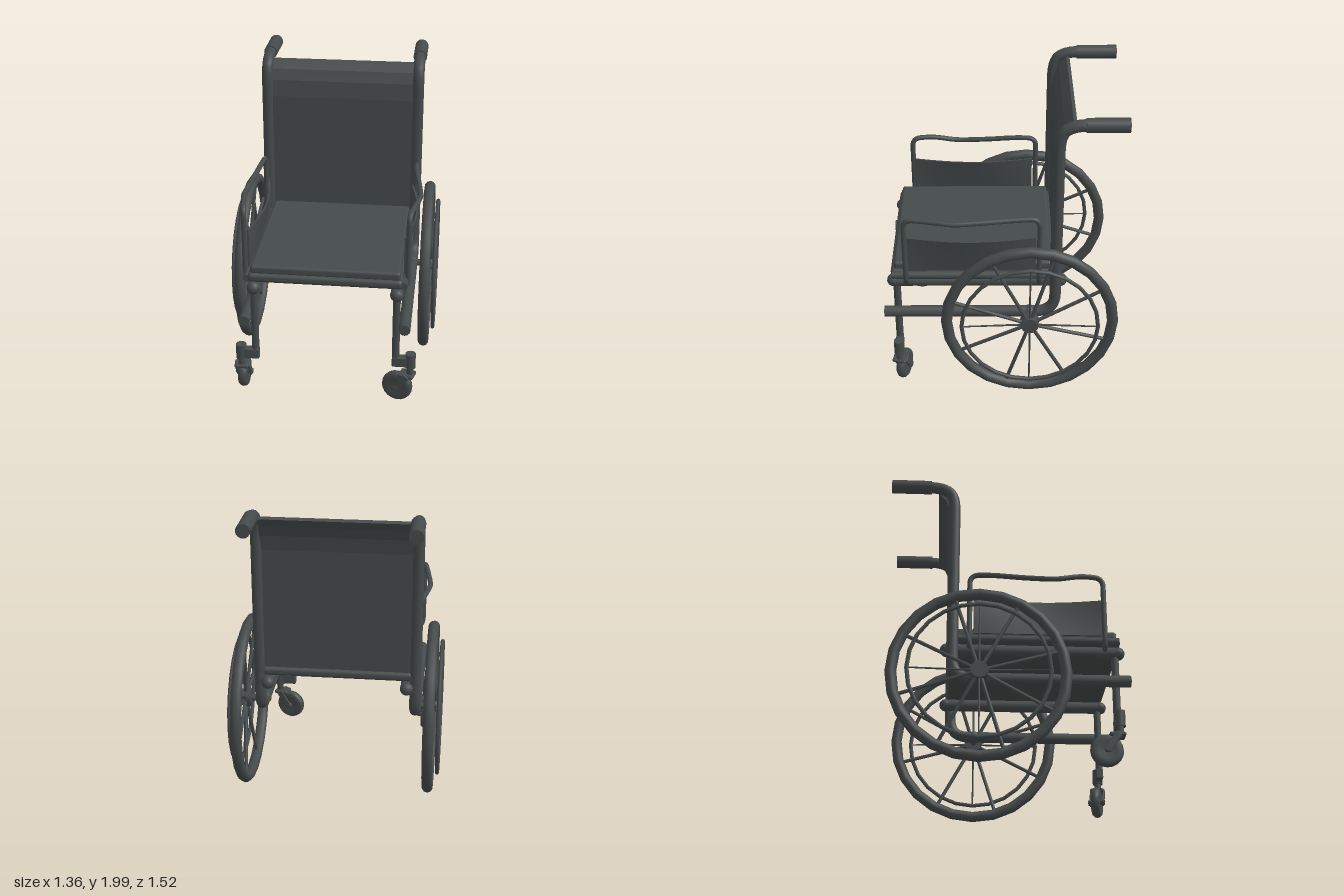
import * as THREE from 'three';
import { RoundedBoxGeometry } from 'three/addons/geometries/RoundedBoxGeometry.js';

const V = (x, y, z) => new THREE.Vector3(x, y, z);
const dark = new THREE.MeshStandardMaterial({ color: 0x454a4a, side: THREE.DoubleSide });
dark.name = 'charcoal';

function add(parent, name, geometry, x = 0, y = 0, z = 0) {
  const m = new THREE.Mesh(geometry, dark);
  m.name = name;
  m.position.set(x, y, z);
  parent.add(m);
  return m;
}

// Straight rod between two points
function rod(parent, name, a, b, r, r2 = r, sides = 12) {
  const m = add(parent, name, new THREE.CylinderGeometry(r2, r, a.distanceTo(b), sides));
  m.position.copy(a).add(b).multiplyScalar(0.5);
  m.quaternion.setFromUnitVectors(V(0, 1, 0), b.clone().sub(a).normalize());
  return m;
}

// Bent tube: straight runs joined by rounded corners
function bentTube(parent, name, pts, r, bend, segments = 64) {
  const path = new THREE.CurvePath();
  let from = pts[0];
  for (let i = 1; i < pts.length - 1; i++) {
    const p = pts[i];
    const toward = (q) => p.clone().add(q.clone().sub(p).setLength(Math.min(bend, p.distanceTo(q) * 0.45)));
    const start = toward(pts[i - 1]), end = toward(pts[i + 1]);
    path.add(new THREE.LineCurve3(from, start));
    path.add(new THREE.QuadraticBezierCurve3(start, p, end));
    from = end;
  }
  path.add(new THREE.LineCurve3(from, pts[pts.length - 1]));
  add(parent, name, new THREE.TubeGeometry(path, segments, r, 12));
}

const ball = (parent, name, r, x, y, z) => add(parent, name, new THREE.SphereGeometry(r, 14, 10), x, y, z);

// Large wheel, built around its hub with the axle along x
function driveWheel(side) {
  const g = new THREE.Group();
  g.name = 'driveWheel';
  add(g, 'tyre', new THREE.TorusGeometry(0.535, 0.036, 10, 24)).rotation.y = Math.PI / 2;
  add(g, 'handRim', new THREE.TorusGeometry(0.437, 0.013, 8, 24), side * 0.06).rotation.y = Math.PI / 2;
  rod(g, 'axle', V(-side * 0.105, 0, 0), V(side * 0.02, 0, 0), 0.022);
  rod(g, 'hub', V(-side * 0.01, 0, 0), V(side * 0.06, 0, 0), 0.062, 0.055, 16);
  const at = (x, r, a) => V(x, r * Math.sin(a), -r * Math.cos(a));
  for (let i = 0; i < 8; i++) {
    const a = (28 + i * 45) * Math.PI / 180;
    rod(g, 'spoke', at(side * 0.03, 0.05, a), at(0, 0.52, a), 0.012, 0.012, 8);
  }
  for (let i = 0; i < 4; i++) {
    const a = i * Math.PI / 2;
    rod(g, 'rimSpoke', at(side * 0.04, 0.05, a), at(side * 0.06, 0.435, a), 0.007, 0.005, 6);
  }
  g.position.set(side * 0.605, 0.58, -0.18);
  return g;
}

// Swivelling front caster, trailing behind its pivot
function caster(side, yaw) {
  const g = new THREE.Group();
  g.name = 'caster';
  rod(g, 'casterStem', V(0, 0.2, 0), V(0, 0.3, 0), 0.022);
  add(g, 'forkCrown', new RoundedBoxGeometry(0.09, 0.025, 0.1, 2, 0.01), 0, 0.212, -0.02);
  for (const s of [-1, 1]) {
    const arm = add(g, 'forkArm', new RoundedBoxGeometry(0.012, 0.14, 0.045, 2, 0.005), s * 0.043, 0.16, -0.05);
    arm.rotation.x = 0.6;
  }
  const profile = [[0, -0.022], [0.055, -0.025], [0.085, -0.03], [0.098, -0.018], [0.102, 0],
    [0.098, 0.018], [0.085, 0.03], [0.055, 0.025], [0, 0.022]].map((p) => new THREE.Vector2(...p));
  add(g, 'casterWheel', new THREE.LatheGeometry(profile, 20), 0, 0.115, -0.085).rotation.z = Math.PI / 2;
  rod(g, 'casterAxle', V(-0.055, 0.115, -0.085), V(0.055, 0.115, -0.085), 0.018);
  g.position.set(side * 0.545, 0, 0.675);
  g.rotation.y = yaw;
  return g;
}

// Fabric side guard whose upper edge billows towards +x
function sideGuard(parent, side) {
  const geo = new THREE.BoxGeometry(0.012, 0.25, 0.82, 1, 6, 16);
  const p = geo.attributes.position;
  for (let i = 0; i < p.count; i++) {
    const up = p.getY(i) / 0.25 + 0.5;
    const along = Math.cos(p.getZ(i) / 0.82 * Math.PI);
    p.setX(i, p.getX(i) + 0.052 * up * along);
  }
  geo.computeVertexNormals();
  add(parent, 'sideGuard', geo, side * 0.49, 1.025, 0.195);
}

// Fabric back: a thin sheet following the bend of the back posts
function backrest(parent) {
  const front = [[-0.335, 0.9], [-0.335, 1.3], [-0.335, 1.7], [-0.35, 1.81], [-0.38, 1.88], [-0.43, 1.94]];
  const shape = new THREE.Shape();
  front.forEach(([z, y], i) => (i ? shape.lineTo(z, y) : shape.moveTo(z, y)));
  [...front].reverse().forEach(([z, y]) => shape.lineTo(z - 0.022, y - (y > 1.75 ? 0.012 : 0)));
  const geo = new THREE.ExtrudeGeometry(shape, { depth: 0.96, bevelEnabled: false });
  add(parent, 'backrest', geo, 0.48, 0, 0).rotation.y = -Math.PI / 2;
}

export function createModel() {
  const model = new THREE.Group();
  model.name = 'wheelchair';

  // Seat and back
  add(model, 'seatBase', new RoundedBoxGeometry(0.97, 0.06, 1.08, 3, 0.025), 0, 0.867, 0.17);
  add(model, 'seatCushion', new RoundedBoxGeometry(0.94, 0.06, 1.01, 3, 0.02), 0, 0.915, 0.185);
  backrest(model);

  for (const s of [-1, 1]) {
    // Lower rail rising into the back post and push handle
    const x = s * 0.505;
    bentTube(model, 'mainFrame', [V(x, 0.585, 0.76), V(x, 0.585, -0.345), V(x, 1.93, -0.345).setY(1.9),
      V(x, 1.955, -0.44), V(x, 1.955, -0.6)], 0.037, 0.13, 110);
    add(model, 'railCap', new THREE.CircleGeometry(0.037, 12), x, 0.585, 0.76);
    rod(model, 'handGrip', V(x, 1.955, -0.5), V(x, 1.955, -0.76), 0.045, 0.045, 16);
    ball(model, 'axleMount', 0.042, x, 0.585, -0.18);

    // Seat rail with rounded ends
    const rx = s * 0.45;
    rod(model, 'seatRail', V(rx, 0.797, 0.7), V(rx, 0.797, -0.385), 0.04);
    for (const z of [0.695, -0.38]) ball(model, 'railEnd', 0.043, rx, 0.797, z);
    rod(model, 'cushionRail', V(s * 0.49, 0.862, 0.7), V(s * 0.49, 0.862, -0.37), 0.025);

    // Front leg and caster housing
    rod(model, 'frontLeg', V(rx, 0.8, 0.675), V(rx, 0.28, 0.675), 0.024);
    add(model, 'casterBracket', new RoundedBoxGeometry(0.12, 0.07, 0.05, 2, 0.008), s * 0.487, 0.312, 0.675);
    rod(model, 'casterHousing', V(s * 0.545, 0.27, 0.675), V(s * 0.545, 0.37, 0.675), 0.034, 0.034, 14);

    // Armrest bowing outwards, with a dip on the right-hand one
    const ax = s * 0.512, dip = s < 0 ? 0.045 : 0.005;
    bentTube(model, 'armrest', [V(s * 0.47, 0.795, 0.61), V(ax, 0.84, 0.61), V(ax, 1.3, 0.61), V(s * 0.535, 1.3, 0.47),
      V(s * 0.567, 1.3 - dip, 0.3), V(s * 0.545, 1.3 - dip * 0.6, 0.1), V(s * 0.52, 1.3, -0.1),
      V(ax, 1.3, -0.24), V(ax, 0.84, -0.24), V(s * 0.47, 0.795, -0.24)], 0.017, 0.06, 110);
    sideGuard(model, s);

    model.add(driveWheel(s));
  }

  // One caster trails straight back, the other is swung inwards
  model.add(caster(-1, 0), caster(1, 1.3));
  return model;
}
